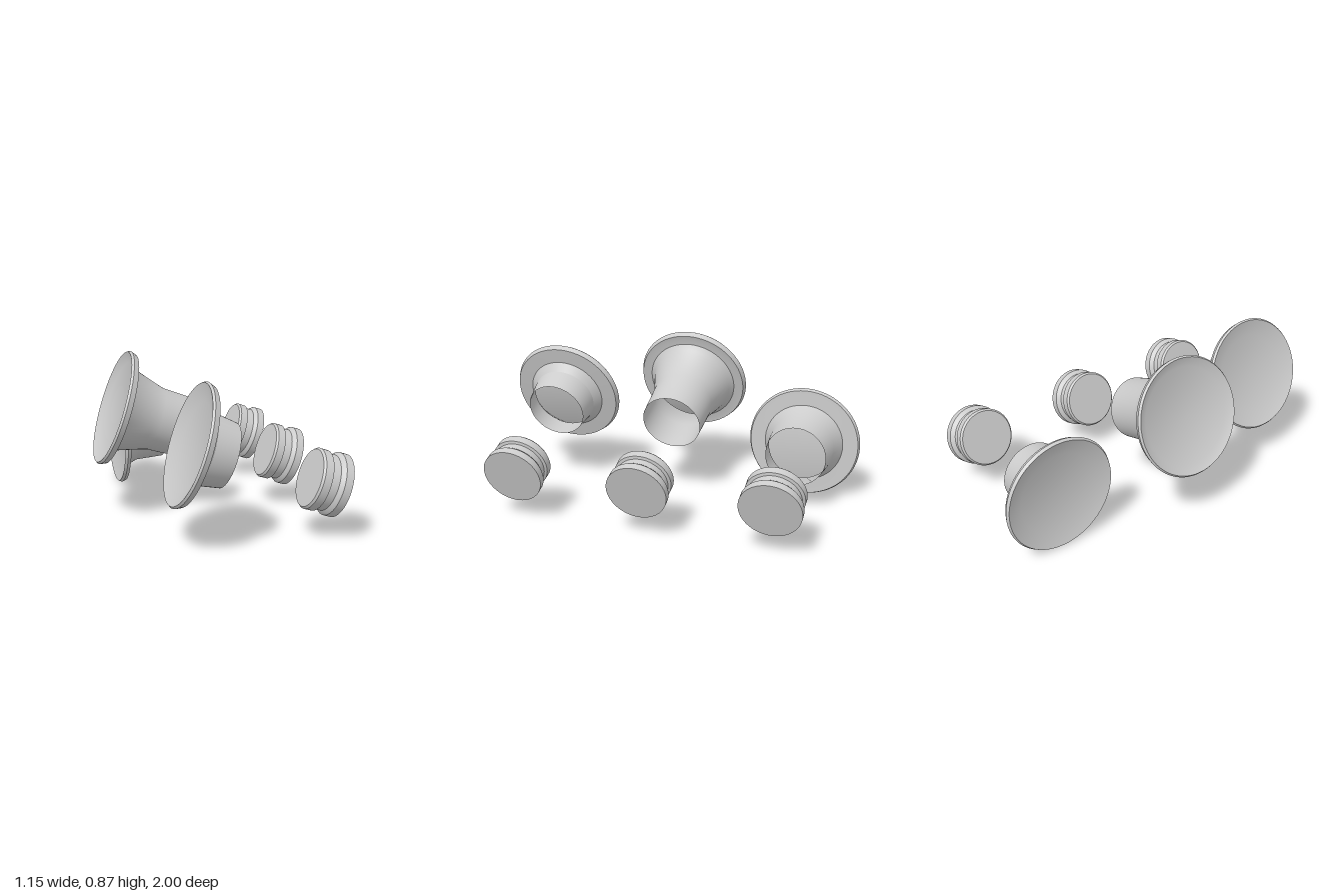
import * as THREE from 'three';
import { toCreasedNormals } from 'three/addons/utils/BufferGeometryUtils.js';

const TILT = Math.PI / 10; // 18 degrees downwards towards +x

// Profiles are [radius, distance along axis], with 0 at the +x end of each part.
const plugProfile = [
  [0, -0.16], [0.146, -0.16], [0.155, -0.149], [0.154, -0.107], [0.139, -0.102],
  [0.142, -0.062], [0.153, -0.052], [0.161, -0.041], [0.161, 0], [0, 0],
];
const longBellProfile = [
  [0, -0.433], [0.255, -0.433], [0.303, -0.458], [0.311, -0.446], [0.3, -0.416],
  [0.28, -0.418], [0.247, -0.416], [0.223, -0.392], [0.183, -0.263], [0.17, -0.215], [0.162, 0],
];
const shortBellProfile = [
  [0, -0.176], [0.217, -0.176], [0.303, -0.208], [0.311, -0.197], [0.3, -0.169],
  [0.275, -0.168], [0.216, -0.166], [0.18, -0.124], [0.162, 0],
];
const rearBellProfile = [
  [0, -0.242], [0.217, -0.242], [0.301, -0.271], [0.309, -0.255], [0.3, -0.235],
  [0.275, -0.235], [0.217, -0.234], [0.18, -0.162], [0.163, 0],
];

export function createModel() {
  const group = new THREE.Group();
  const metal = new THREE.MeshStandardMaterial({ color: 0xcccccc, side: THREE.DoubleSide });
  metal.name = 'lightGrey';

  // Turn a profile around an axis that points to +x, tilted down by the given angle
  function addTurned(name, profile, tilt, x, y, z) {
    const points = profile.map(([r, s]) => new THREE.Vector2(r, s));
    const geometry = toCreasedNormals(new THREE.LatheGeometry(points, 64), 0.5);
    const mesh = new THREE.Mesh(geometry, metal);
    mesh.name = name;
    mesh.rotation.z = -Math.PI / 2 - tilt;
    mesh.position.set(x, y, z);
    group.add(mesh);
  }

  // Three flared bells, each with a disc closing the mouth and an open neck
  addTurned('frontBell', shortBellProfile, TILT, -0.048, 0.437, 0.69);
  addTurned('middleBell', longBellProfile, TILT, -0.048, 0.437, 0);
  addTurned('rearBell', rearBellProfile, 0, -0.07, 0.312, -0.69);

  // Three grooved plugs in a row
  [['frontPlug', 0.69], ['middlePlug', 0], ['rearPlug', -0.69]].forEach(([name, z]) =>
    addTurned(name, plugProfile, TILT, 0.525, 0.252, z));

  return group;
}
